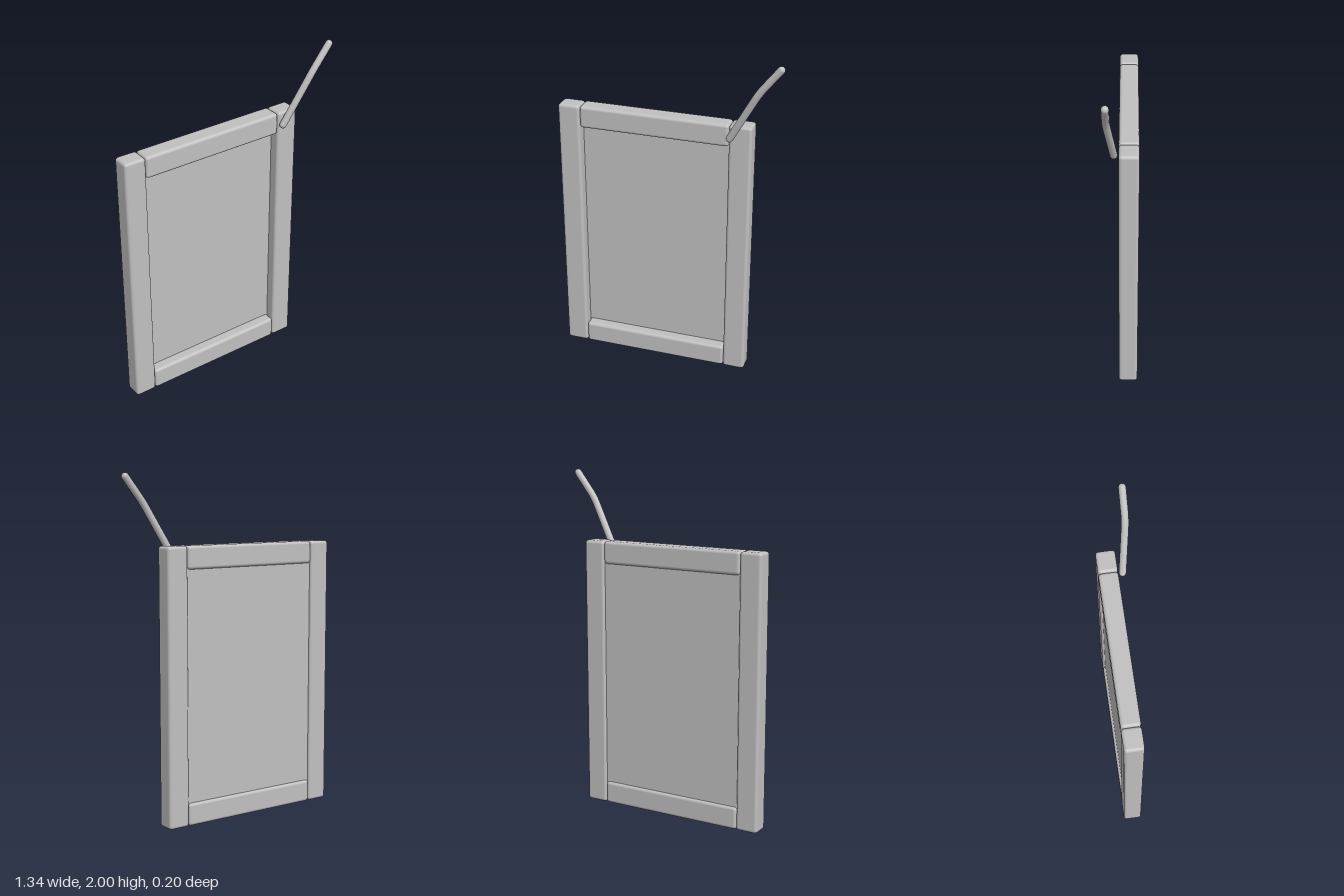
import * as THREE from 'three';
import { RoundedBoxGeometry } from 'three/addons/geometries/RoundedBoxGeometry.js';

export function createModel() {
  const model = new THREE.Group();
  model.name = 'framedPanel';
  const grey = new THREE.MeshStandardMaterial({ color: 0xc0c0c0 });
  grey.name = 'plain grey';

  const add = (name, geometry, x, y, z) => {
    const mesh = new THREE.Mesh(geometry, grey);
    mesh.name = name;
    mesh.position.set(x, y, z);
    model.add(mesh);
    return mesh;
  };

  // Frame: two full-height posts with two rails between them
  const centreX = -0.095, frameZ = -0.046, depth = 0.11, beam = 0.132, height = 1.6;
  for (const [side, name] of [[1, 'leftPost'], [-1, 'rightPost']]) {
    add(name, new RoundedBoxGeometry(beam, height, depth, 3, 0.018),
      centreX + side * 0.511, height / 2, frameZ);
  }
  for (const [name, y] of [['bottomRail', beam / 2], ['topRail', height - beam / 2]]) {
    add(name, new RoundedBoxGeometry(0.888, beam, depth, 3, 0.018), centreX, y, frameZ);
  }

  // Thin infill panel, set deeper at the front than at the back
  add('panel', new THREE.BoxGeometry(0.89, height - 2 * beam + 0.02, 0.03), centreX, height / 2, -0.07);

  // Bent handle rod with rounded ends
  const radius = 0.021;
  const path = new THREE.CurvePath();
  const start = new THREE.Vector3(0.363, 1.536, 0.036);
  const bendIn = new THREE.Vector3(0.505, 1.79, 0.069);
  const bend = new THREE.Vector3(0.525, 1.826, 0.073);
  const bendOut = new THREE.Vector3(0.55, 1.86, 0.074);
  const end = new THREE.Vector3(0.644, 1.979, 0.074);
  path.add(new THREE.LineCurve3(start, bendIn));
  path.add(new THREE.QuadraticBezierCurve3(bendIn, bend, bendOut));
  path.add(new THREE.LineCurve3(bendOut, end));
  add('handleRod', new THREE.TubeGeometry(path, 24, radius, 12, false), 0, 0, 0);
  for (const [name, p] of [['handleLowerTip', start], ['handleUpperTip', end]]) {
    add(name, new THREE.SphereGeometry(radius, 12, 8), p.x, p.y, p.z);
  }

  return model;
}
